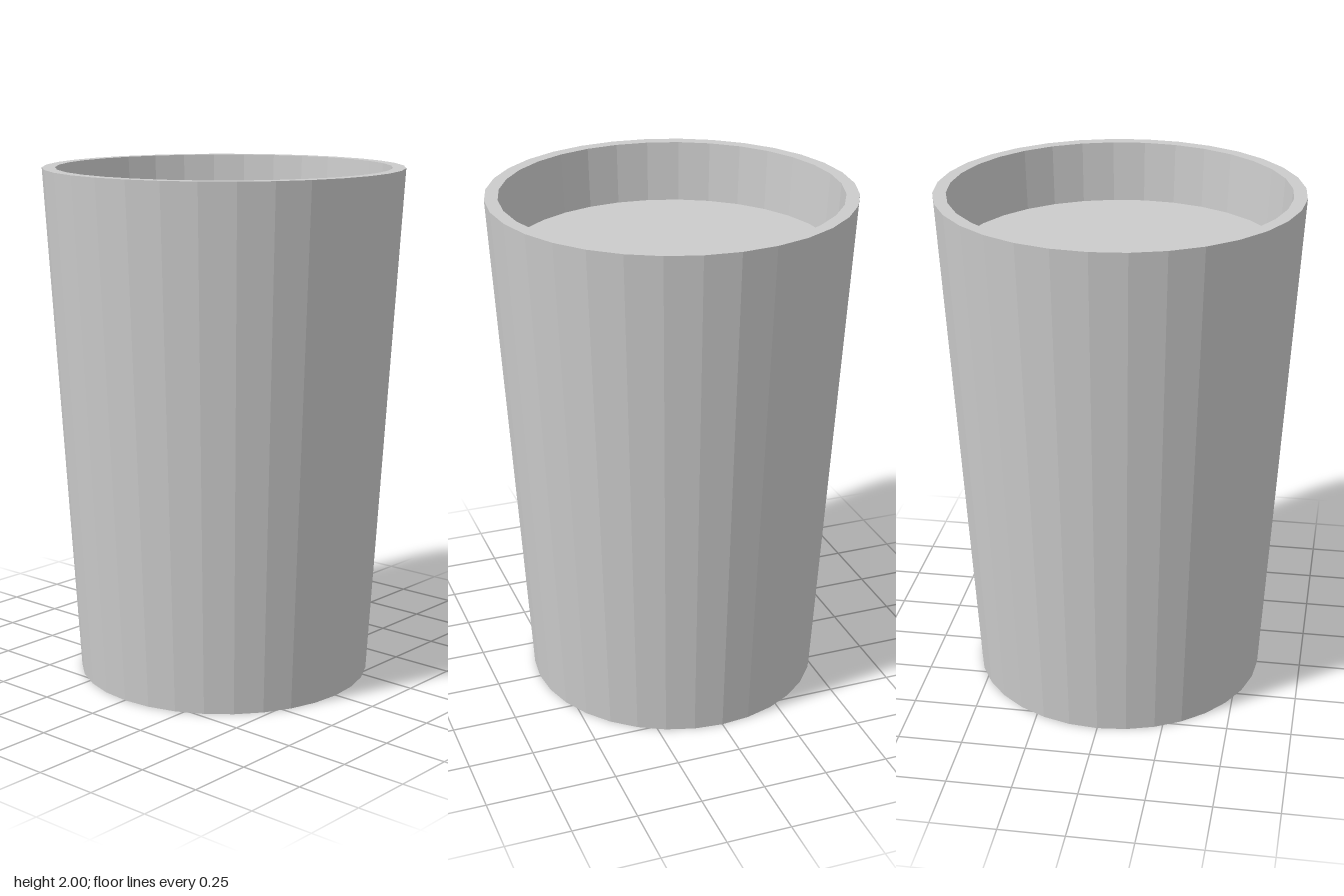
import * as THREE from 'three';

export function createModel() {
  const group = new THREE.Group();
  const sides = 32;
  const material = new THREE.MeshStandardMaterial({ color: 0xcccccc, flatShading: true });

  const height = 2, bottomRadius = 0.575, topRadius = 0.695, wall = 0.05;
  const floorY = 0.05, fillY = 1.763;
  // inner wall runs parallel to the tapered outer wall
  const innerRadius = (y) => bottomRadius + (topRadius - bottomRadius) * (y / height) - wall;

  // tapered cup: underside, outer wall, flat rim, inner wall, inner floor
  const profile = [
    [0, 0],
    [bottomRadius, 0],
    [topRadius, height],
    [innerRadius(height), height],
    [innerRadius(floorY), floorY],
    [0, floorY],
  ].map(([r, y]) => new THREE.Vector2(r, y));
  const cup = new THREE.Mesh(new THREE.LatheGeometry(profile, sides), material);
  cup.name = 'cup';
  group.add(cup);

  // drink filling the cup to a little below the rim
  const drink = new THREE.Mesh(
    new THREE.CylinderGeometry(innerRadius(fillY), innerRadius(floorY), fillY - floorY, sides),
    material
  );
  drink.position.y = (fillY + floorY) / 2;
  drink.name = 'drink';
  group.add(drink);

  return group;
}
